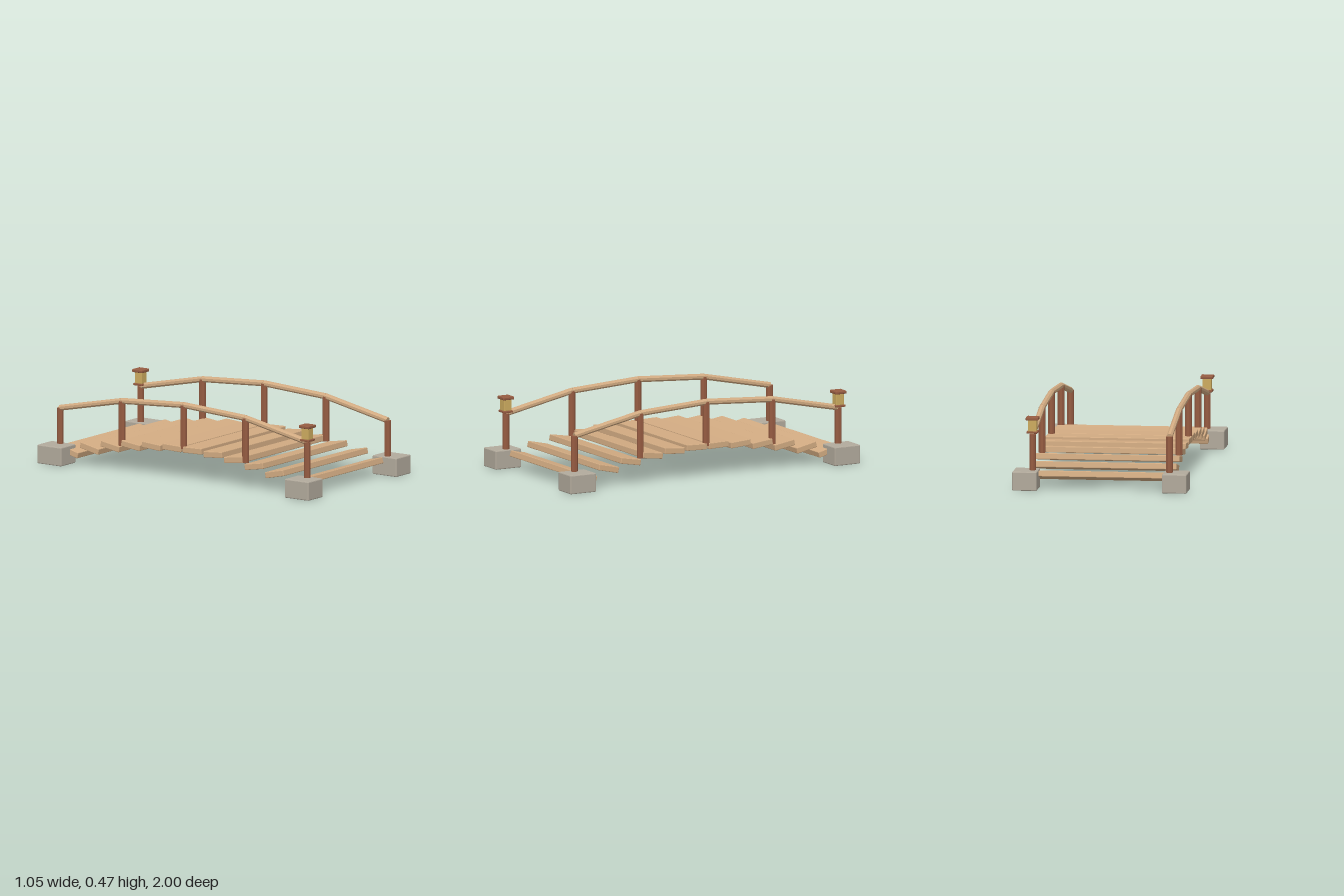
import * as THREE from 'three';
import { RoundedBoxGeometry } from 'three/addons/geometries/RoundedBoxGeometry.js';

const mat = (name, color, flatShading = false) => {
  const m = new THREE.MeshStandardMaterial({ color, flatShading });
  m.name = name;
  return m;
};

const POST_X = 0.413;
const END_Z = 0.91;
const PLANKS = 12;
const PITCH = 0.1515;

// Height of the arched deck along z
const arch = (z) => 0.187 - 0.16 * z * z;

export function createModel() {
  const bridge = new THREE.Group();
  bridge.name = 'bridge';
  const plankWood = mat('lightWood', 0xd2ab82, true);
  const postWood = mat('darkWood', 0x965c42, true);
  const stone = mat('stone', 0xb2aa9c, true);
  const glass = mat('lanternGlass', 0xcdab5f, true);

  const add = (parent, name, geometry, material, x, y, z) => {
    const mesh = new THREE.Mesh(geometry, material);
    mesh.name = name;
    mesh.position.set(x, y, z);
    parent.add(mesh);
    return mesh;
  };
  const block = (w, h, d, bevel) => new RoundedBoxGeometry(w, h, d, 1, bevel);

  // Octagonal bar between two points, with a flat face upward
  const bar = (name, a, b, radius, material) => {
    const geometry = new THREE.CylinderGeometry(radius, radius, a.distanceTo(b), 8);
    geometry.rotateY(Math.PI / 8);
    const mesh = add(bridge, name, geometry, material, 0, 0, 0);
    mesh.position.copy(a).add(b).multiplyScalar(0.5);
    mesh.quaternion.setFromUnitVectors(new THREE.Vector3(0, 1, 0), b.clone().sub(a).normalize());
  };

  // Deck planks, each tipped up toward its outer end
  const plank = block(0.87, 0.037, 0.138, 0.004);
  for (let i = 0; i < PLANKS; i++) {
    const z = (i - (PLANKS - 1) / 2) * PITCH;
    add(bridge, 'plank', plank, plankWood, 0, arch(z), z).rotation.x = -Math.atan(0.32 * z);
  }

  // Stone footings
  const footing = block(0.148, 0.115, 0.178, 0.006);
  for (const sx of [-1, 1])
    for (const sz of [-1, 1]) add(bridge, 'footing', footing, stone, sx * 0.452, 0.0575, sz * 0.911);

  // Posts and handrails
  const railPoints = [[-END_Z, 0.332], [-0.455, 0.426], [0, 0.453], [0.455, 0.426], [END_Z, 0.332]];
  for (const sx of [-1, 1]) {
    const x = sx * POST_X;
    railPoints.forEach(([z, y], i) => {
      const foot = Math.abs(z) === END_Z ? 0.1 : arch(z);
      const top = new THREE.Vector3(x, y, z);
      bar('post', new THREE.Vector3(x, foot, z), top, 0.021, postWood);
      if (i > 0) {
        const [pz, py] = railPoints[i - 1];
        bar('handrail', new THREE.Vector3(x, py, pz), top, 0.0185, plankWood);
      }
    });
  }

  // Lanterns on two opposite corner posts
  for (const s of [-1, 1]) {
    const lantern = new THREE.Group();
    lantern.name = 'lantern';
    lantern.position.set(s * POST_X, 0, -s * END_Z);
    add(lantern, 'lanternBase', block(0.066, 0.013, 0.066, 0.003), postWood, 0, 0.345, 0);
    add(lantern, 'lanternBody', block(0.053, 0.072, 0.053, 0.004), glass, 0, 0.385, 0);
    add(lantern, 'lanternCap', block(0.076, 0.019, 0.076, 0.005), postWood, 0, 0.428, 0);
    bridge.add(lantern);
  }

  return bridge;
}
